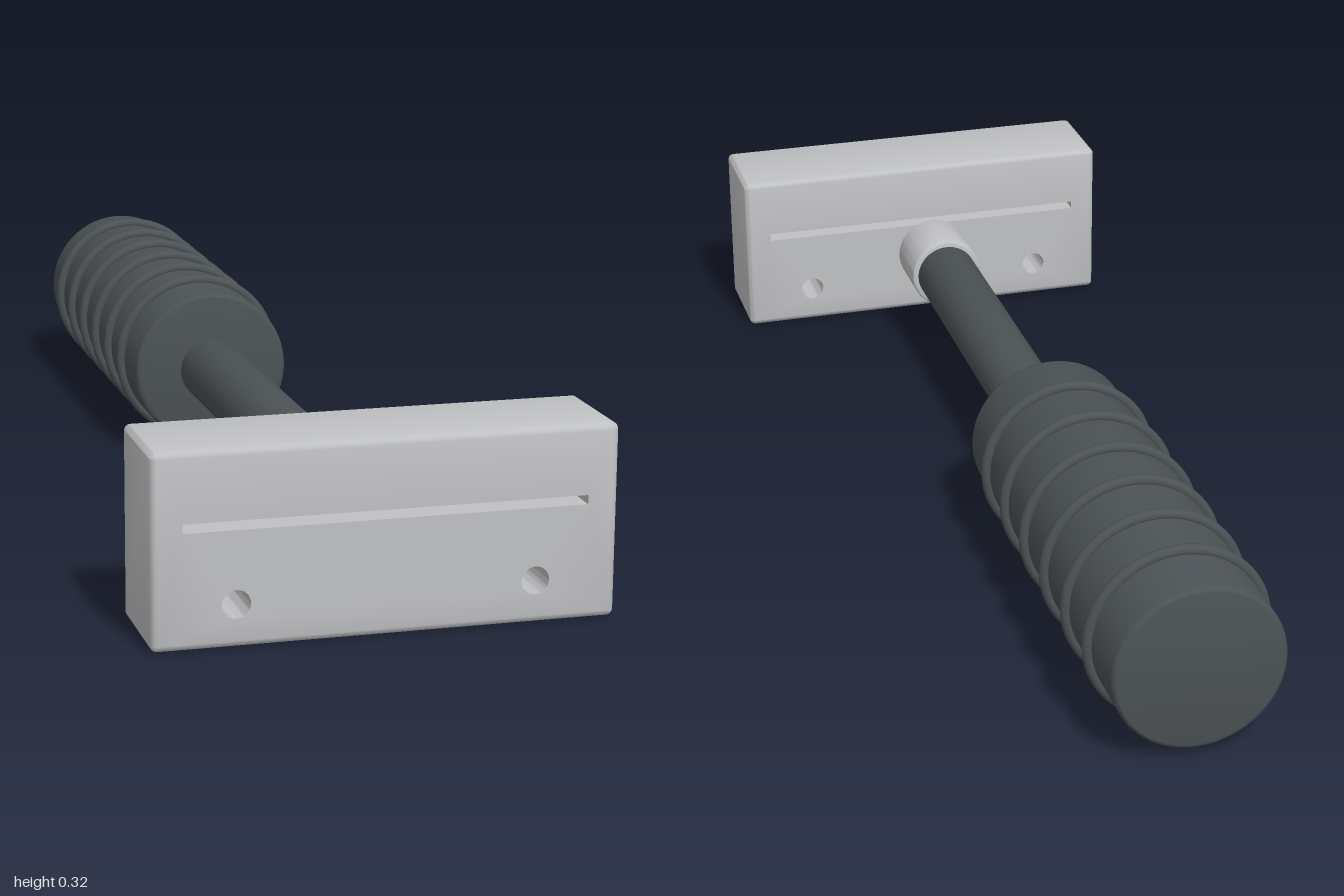
import * as THREE from 'three';
import { toCreasedNormals } from 'three/addons/utils/BufferGeometryUtils.js';

const AXIS_Y = 0.162; // height of the handle axis

const lightMetal = new THREE.MeshStandardMaterial({ name: 'light grey metal', color: 0xc0c1c3 });
const darkRubber = new THREE.MeshStandardMaterial({ name: 'dark grey rubber', color: 0x4c5255 });

function mesh(name, geometry, material) {
  const m = new THREE.Mesh(geometry, material);
  m.name = name;
  return m;
}

// Solid of revolution along z, with rounded rims at both ends
function rod(name, z0, z1, radius, rim, material) {
  const pts = [new THREE.Vector2(0, z0)];
  for (let i = 0; i <= 3; i++) {
    const a = (i / 3) * Math.PI / 2;
    pts.push(new THREE.Vector2(radius - rim + rim * Math.sin(a), z0 + rim - rim * Math.cos(a)));
  }
  for (let i = 3; i >= 0; i--) {
    const a = (i / 3) * Math.PI / 2;
    pts.push(new THREE.Vector2(radius - rim + rim * Math.sin(a), z1 - rim + rim * Math.cos(a)));
  }
  pts.push(new THREE.Vector2(0, z1));
  const g = new THREE.LatheGeometry(pts, 64);
  g.rotateX(Math.PI / 2);
  const m = mesh(name, toCreasedNormals(g, 0.6), material);
  m.position.y = AXIS_Y;
  return m;
}

// Block with a slot and two holes right through, all outer edges rounded
function headGeometry() {
  const hx = 0.378, hy = 0.159, r = 0.011, depth = 0.195, steps = 7;
  const cx = hx - r, cy = hy - r;
  const shape = new THREE.Shape();
  shape.absarc(cx, cy, r, 0, Math.PI / 2);
  shape.absarc(-cx, cy, r, Math.PI / 2, Math.PI);
  shape.absarc(-cx, -cy, r, Math.PI, Math.PI * 1.5);
  shape.absarc(cx, -cy, r, Math.PI * 1.5, Math.PI * 2);
  shape.closePath();

  const slot = new THREE.Path();
  const sx = 0.328, s0 = 0.03, s1 = 0.045;
  slot.moveTo(-sx, s0);
  slot.lineTo(-sx, s1);
  slot.lineTo(sx, s1);
  slot.lineTo(sx, s0);
  slot.closePath();
  shape.holes.push(slot);
  for (const side of [-1, 1]) {
    const hole = new THREE.Path();
    hole.absarc(side * 0.243, -0.089, 0.023, 0, Math.PI * 2, true);
    shape.holes.push(hole);
  }

  const g = new THREE.ExtrudeGeometry(shape, { depth, steps, bevelEnabled: false, curveSegments: 24 });
  // Bunch the layers near both faces and draw the outline in there
  const p = g.attributes.position;
  for (let i = 0; i < p.count; i++) {
    const layer = Math.round(p.getZ(i) / depth * steps);
    const a = Math.min(layer, steps - layer) / 3 * Math.PI / 2;
    const d = r * (1 - Math.cos(a));
    const x = p.getX(i), y = p.getY(i);
    const kx = THREE.MathUtils.clamp(x, -cx, cx), ky = THREE.MathUtils.clamp(y, -cy, cy);
    const s = Math.sin(a);
    p.setXYZ(i, kx + (x - kx) * s, ky + (y - ky) * s, layer <= 3 ? d : depth - d);
  }
  return toCreasedNormals(g, 0.7);
}

export function createModel() {
  const model = new THREE.Group();
  model.name = 'mallet';

  const head = mesh('head', headGeometry(), lightMetal);
  head.position.set(0, 0.162, 0.805);
  model.add(head);

  // Handle
  model.add(rod('collar', 0.605, 0.73, 0.071, 0.004, lightMetal));
  model.add(rod('shaft', -0.16, 0.62, 0.06, 0.003, darkRubber));
  model.add(rod('grip', -1, -0.143, 0.147, 0.008, darkRubber));

  // Raised grip rings
  const rings = new THREE.Group();
  rings.name = 'gripRings';
  const ringGeometry = new THREE.TorusGeometry(0.151, 0.01, 12, 64);
  for (let i = 0; i < 6; i++) {
    const ring = mesh('gripRing', ringGeometry, darkRubber);
    ring.position.set(0, AXIS_Y, -0.88 + i * 0.123);
    rings.add(ring);
  }
  model.add(rings);

  return model;
}
